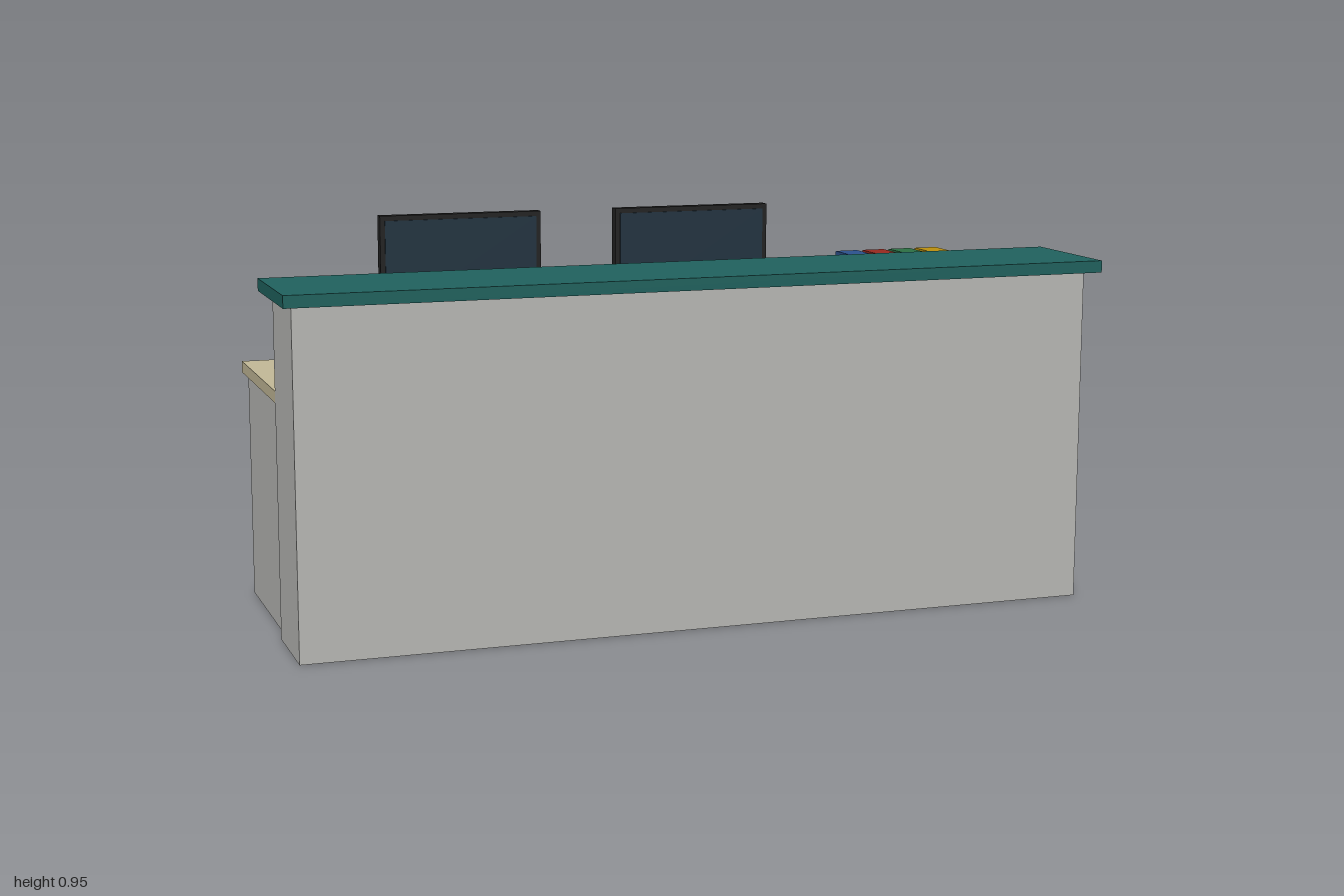
import * as THREE from 'three';

const mat = (name, color) => {
  const m = new THREE.MeshStandardMaterial({ color });
  m.name = name;
  return m;
};

export function createModel() {
  const root = new THREE.Group();
  root.name = 'receptionDesk';

  const wall = mat('light grey', 0xb8b8b5);
  const teal = mat('teal', 0x20625e);
  const wood = mat('pale wood', 0xc2b997);
  const black = mat('black plastic', 0x222222);
  const glass = mat('dark screen', 0x223340);
  const blue = mat('blue', 0x2c528e);
  const metal = mat('grey metal', 0x82828a);
  const red = mat('red', 0x98291f);
  const green = mat('green', 0x2c7044);
  const yellow = mat('yellow', 0xbc900e);

  // Box given by its extents on each axis
  const box = (parent, name, material, [x0, x1], [y0, y1], [z0, z1]) => {
    const m = new THREE.Mesh(new THREE.BoxGeometry(x1 - x0, y1 - y0, z1 - z0), material);
    m.position.set((x0 + x1) / 2, (y0 + y1) / 2, (z0 + z1) / 2);
    m.name = name;
    parent.add(m);
    return m;
  };
  const group = (name, x = 0) => {
    const g = new THREE.Group();
    g.name = name;
    g.position.x = x;
    root.add(g);
    return g;
  };

  // Counter and desk
  box(root, 'frontWall', wall, [-0.975, 0.975], [0, 0.815], [0.306, 0.532]);
  box(root, 'counterTop', teal, [-1, 1], [0.815, 0.844], [0.26, 0.575]);
  box(root, 'deskTop', wood, [-0.975, 0.975], [0.56, 0.588], [-0.147, 0.306]);
  box(root, 'leftSidePanel', wall, [0.92, 0.96], [0, 0.56], [-0.147, 0.306]);
  box(root, 'rightSidePanel', wall, [-0.96, -0.92], [0, 0.56], [-0.147, 0.306]);

  for (const x of [-0.452, 0.149]) {
    // Monitor with its stand, facing the counter
    const monitor = group('monitor', x);
    box(monitor, 'monitorBase', black, [-0.068, 0.068], [0.588, 0.603], [-0.053, 0.053]);
    box(monitor, 'monitorNeck', black, [-0.018, 0.018], [0.603, 0.69], [-0.022, 0.0]);
    box(monitor, 'monitorCase', black, [-0.203, 0.203], [0.68, 0.95], [-0.026, 0.001]);
    box(monitor, 'monitorScreen', glass, [-0.191, 0.191], [0.692, 0.938], [0.0, 0.004]);

    // Chair with its back away from the desk
    const chair = group('chair', x);
    box(chair, 'chairSeat', blue, [-0.165, 0.165], [0.325, 0.354], [-0.575, -0.245]);
    box(chair, 'chairBack', blue, [-0.165, 0.165], [0.354, 0.686], [-0.575, -0.547]);
    for (const lx of [-0.135, 0.135]) {
      for (const lz of [-0.273, -0.544]) {
        box(chair, 'chairLeg', metal, [lx - 0.011, lx + 0.011], [0, 0.325], [lz - 0.011, lz + 0.011]);
      }
    }
  }

  // Row of binders
  const binders = group('binders');
  [blue, red, green, yellow].forEach((m, i) => {
    const x = 0.571 + i * 0.0755;
    box(binders, 'binder', m, [x, x + 0.06], [0.588, 0.814], [-0.057, 0.138]);
  });

  // Desk phone
  box(root, 'phone', black, [-0.866, -0.715], [0.588, 0.633], [0.09, 0.213]);

  return root;
}
